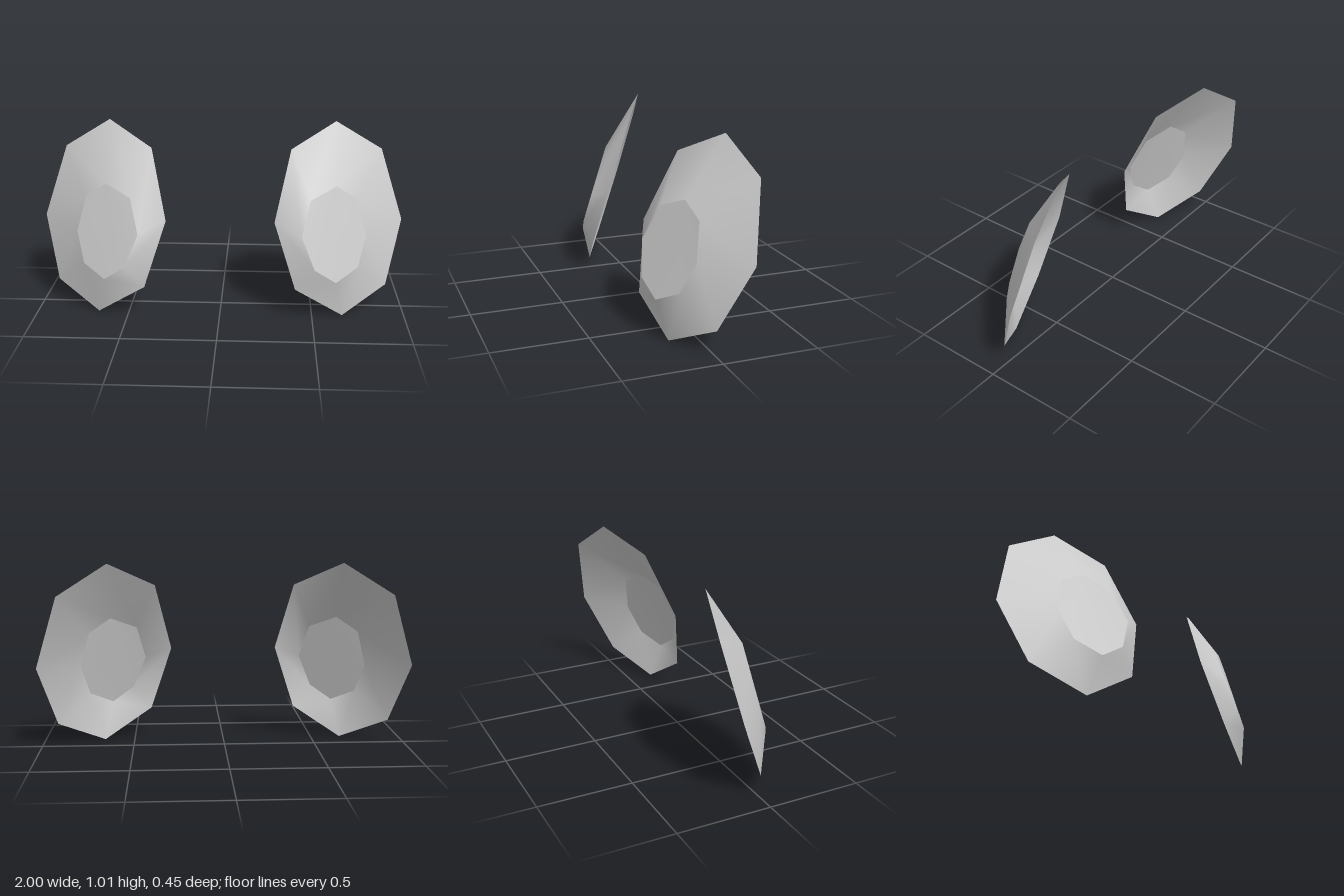
import * as THREE from 'three';

// Corners of the left eye, clockwise from the top
const rim = [
  [0.62, 1.01, -0.163], [0.88, 0.845, -0.225], [1.0, 0.46, -0.155], [0.91, 0.127, -0.005],
  [0.665, 0, 0.143], [0.405, 0.168, 0.203], [0.29, 0.52, 0.135], [0.375, 0.885, -0.015],
];
const iris = [
  [0.62, 0.7, 0.045], [0.735, 0.622, 0.017], [0.785, 0.43, 0.05], [0.742, 0.27, 0.12],
  [0.622, 0.207, 0.196], [0.505, 0.287, 0.225], [0.435, 0.46, 0.197], [0.48, 0.64, 0.118],
];

const material = new THREE.MeshStandardMaterial({ color: 0xcccccc, side: THREE.DoubleSide });

// Mesh from points, mirrored to the given side with its winding kept outward
function makeMesh(name, points, faces, side) {
  const geometry = new THREE.BufferGeometry();
  const coords = points.flatMap(([x, y, z]) => [x * side, y, z]);
  geometry.setAttribute('position', new THREE.Float32BufferAttribute(coords, 3));
  geometry.setIndex(faces.flatMap(([a, b, c]) => (side > 0 ? [a, b, c] : [a, c, b])));
  geometry.computeVertexNormals();
  const mesh = new THREE.Mesh(geometry, material);
  mesh.name = name;
  return mesh;
}

function makeEye(name, side) {
  const eye = new THREE.Group();
  eye.name = name;
  const n = rim.length;
  const wall = [];
  const cap = [];
  for (let i = 0; i < n; i++) {
    const j = (i + 1) % n;
    wall.push([i, n + i, j], [j, n + i, n + j]);
    if (i > 0 && i < n - 1) cap.push([0, i + 1, i]);
  }
  // Smooth flared shell, open at the back, closed in front by a flat plate
  eye.add(makeMesh('eyeShell', [...rim, ...iris], wall, side));
  eye.add(makeMesh('irisPlate', iris, cap, side));
  return eye;
}

export function createModel() {
  const model = new THREE.Group();
  model.name = 'eyes';
  model.add(makeEye('leftEye', 1), makeEye('rightEye', -1));
  return model;
}
